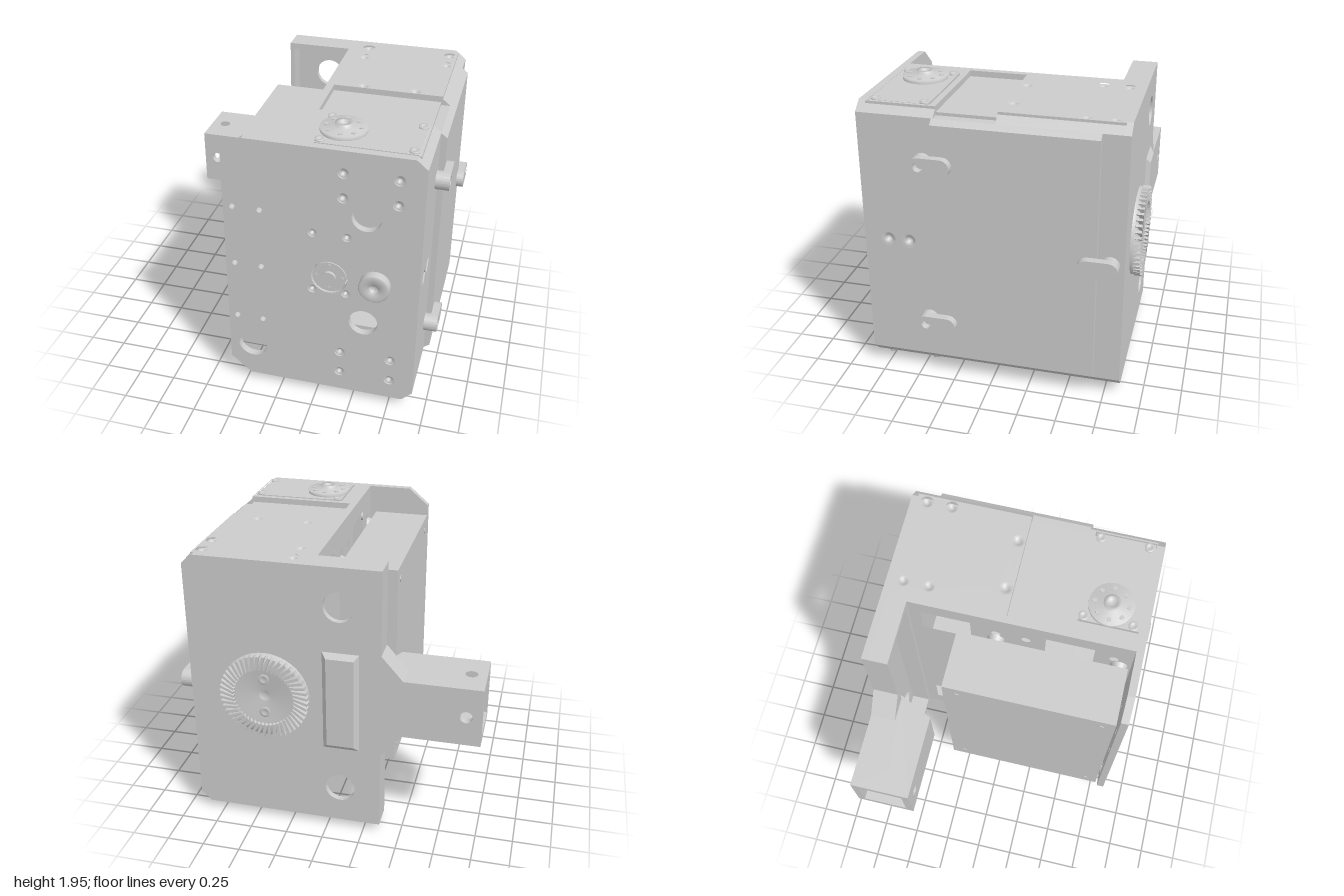
import * as THREE from 'three';

const mat = new THREE.MeshStandardMaterial({ color: 0xcccccc });
const thin = new THREE.MeshStandardMaterial({ color: 0xcccccc, side: THREE.DoubleSide });
const BOTTOM = 0.06, TOP = 1.9, MID = 0.98;

export function createModel() {
  const root = new THREE.Group();

  const add = (name, geo, x = 0, y = 0, z = 0, m = mat) => {
    const mesh = new THREE.Mesh(geo, m);
    mesh.name = name;
    mesh.position.set(x, y, z);
    root.add(mesh);
    return mesh;
  };
  const box = (name, x0, x1, y0, y1, z0, z1) =>
    add(name, new THREE.BoxGeometry(x1 - x0, y1 - y0, z1 - z0), (x0 + x1) / 2, (y0 + y1) / 2, (z0 + z1) / 2);
  const rect = (a0, a1, b0, b1) => [[a0, b0], [a1, b0], [a1, b1], [a0, b1]];

  // Plate from an outline: axis z takes (x,y), axis x takes (z,y), axis y takes (x,z).
  // Holes are circles [a, b, r] or outlines.
  const plate = (name, axis, from, to, pts, holes = []) => {
    const map = ([a, b]) => new THREE.Vector2(axis === 'x' ? -a : a, axis === 'y' ? -b : b);
    const shape = new THREE.Shape(pts.map(map));
    for (const h of holes) {
      const path = new THREE.Path();
      if (typeof h[0] === 'number') {
        const c = map(h);
        path.absarc(c.x, c.y, h[2], 0, Math.PI * 2, true);
      } else path.setFromPoints(h.map(map));
      shape.holes.push(path);
    }
    const geo = new THREE.ExtrudeGeometry(shape, { depth: to - from, bevelEnabled: false, curveSegments: 16 });
    if (axis === 'x') geo.rotateY(Math.PI / 2);
    if (axis === 'y') geo.rotateX(-Math.PI / 2);
    return add(name, geo, axis === 'x' ? from : 0, axis === 'y' ? from : 0, axis === 'z' ? from : 0);
  };

  // Turns the local +y of a round part to the given direction.
  const aim = (mesh, dir) => {
    mesh.quaternion.setFromUnitVectors(new THREE.Vector3(0, 1, 0), new THREE.Vector3(...dir));
    return mesh;
  };
  const turned = (name, profile, pos, dir, segments = 32) => {
    const geo = new THREE.LatheGeometry(profile.map(p => new THREE.Vector2(...p)), segments);
    return aim(add(name, geo.toNonIndexed(), ...pos, thin), dir);
  };
  const screw = (pos, dir, r, d = 0.03) =>
    turned('screw', [[0, -d], [0.45 * r, -d], [0.45 * r, -0.4 * d], [r, -0.4 * d]], pos, dir, 16);
  const disc = (name, r, h, pos, dir) => aim(add(name, new THREE.CylinderGeometry(r, r, h, 32), ...pos), dir);

  // Front plate
  const frontScrews = [];
  for (const y of [1.75, 1.58, 0.38, 0.21]) for (const x of [0.41, 0.75]) frontScrews.push([x, y, 0.036]);
  for (const y of [1.3, 0.87]) for (const x of [0.22, 0.44]) frontScrews.push([x, y, 0.03]);
  const pinHoles = [];
  for (const y of [1.41, 0.98, 0.55]) for (const x of [-0.3, -0.12]) pinHoles.push([x, y, 0.02]);
  plate('frontPlate', 'z', 0.8, 0.85,
    [[-0.22, BOTTOM], [0.84, BOTTOM], [0.91, 0.13], [0.91, 1.84], [0.84, TOP], [-0.22, TOP], [-0.36, 1.78], [-0.36, 0.18]],
    [...frontScrews, ...pinHoles, [0.56, 1.46, 0.095], [0.56, 0.66, 0.095], [-0.2, 0.32, 0.1], [0.33, MID, 0.12]]);
  for (const [x, y, r] of frontScrews) screw([x, y, 0.85], [0, 0, 1], r);

  // Front drive horn and knob
  disc('frontHorn', 0.11, 0.06, [0.33, MID, 0.815], [0, 0, 1]);
  disc('frontHornHub', 0.045, 0.03, [0.33, MID, 0.85], [0, 0, 1]);
  for (let i = 0; i < 4; i++) {
    const a = i * Math.PI / 2;
    disc('hornPin', 0.012, 0.01, [0.33 + 0.085 * Math.cos(a), MID + 0.085 * Math.sin(a), 0.846], [0, 0, 1]);
  }
  turned('frontKnob', [[0.1, 0], [0.1, 0.05], [0.09, 0.06], [0.032, 0.06], [0.032, 0.03], [0, 0.03]], [0.63, MID, 0.85], [0, 0, 1]);

  // Back plate with the gussets of the arm, and the rim of its open tray
  const gusset = [[-0.36, 1.34], [-0.5, 1.18], [-0.5, 0.78], [-0.36, 0.62]];
  plate('backPlate', 'z', -0.85, -0.81,
    [[-0.36, BOTTOM], [0.84, BOTTOM], [0.91, 0.13], [0.91, 1.84], [0.84, TOP], [-0.36, TOP], ...gusset],
    [[-0.09, 0.32, 0.1], [-0.09, 1.64, 0.1]].concat([0.22, 0.81].map(x => [x, MID, 0.001])).slice(0, 2));
  plate('backTrayRim', 'z', -0.81, -0.68,
    [[-0.36, BOTTOM], [0.08, BOTTOM], [0.08, TOP], [-0.36, TOP], ...gusset], [rect(-0.33, 0.05, 0.1, 1.86)]);

  // Bevelled pad on the back
  const pad = new THREE.BoxGeometry(0.24, 0.7, 0.03);
  const p = pad.attributes.position;
  for (let i = 0; i < p.count; i++) {
    if (p.getZ(i) < 0) p.setXY(i, p.getX(i) * 0.75, p.getY(i) * 0.9);
  }
  pad.computeVertexNormals();
  add('backPad', pad, -0.1, MID, -0.865);

  // Toothed drive wheel on the back
  turned('wheel', [[0, 0.01], [0.04, 0.01], [0.04, 0.03], [0.19, 0.03], [0.21, 0.05], [0.285, 0.035], [0.295, 0]],
    [0.4, MID, -0.85], [0, 0, -1], 48);
  for (const s of [-1, 1]) {
    turned('wheelBolt', [[0, 0.002], [0.018, 0.002], [0.018, 0.008], [0.036, 0.008], [0.036, 0]],
      [0.4, MID + s * 0.12, -0.88], [0, 0, -1], 16);
  }
  const tooth = new THREE.BoxGeometry(0.1, 0.018, 0.045);
  for (let i = 0; i < 48; i++) {
    const a = i / 48 * Math.PI * 2;
    const t = add('wheelTooth', tooth, 0.4 + 0.248 * Math.cos(a), MID + 0.248 * Math.sin(a), -0.893);
    t.rotation.z = a + 0.3;
  }

  // Side arm: a square tube, cut at a slant next to the body
  for (const y of [0.78, 1.13]) {
    plate('armWall', 'y', y, y + 0.05, [[-1, -0.85], [-0.31, -0.85], [-0.31, -0.68], [-0.42, -0.45], [-1, -0.45]], [[-0.9, -0.65, 0.04]]);
  }
  plate('armFront', 'z', -0.5, -0.45, rect(-1, -0.42, 0.83, 1.13), [[-0.9, MID, 0.04]]);
  plate('armBack', 'z', -0.85, -0.8, rect(-1, -0.45, 0.83, 1.13), [[-0.9, MID, 0.04]]);

  // Housing: bottom, upper deck, walls
  box('housingBottom', 0.08, 0.84, BOTTOM, 0.1, -0.81, 0.8);
  box('upperDeck', 0.08, 0.85, 1.82, 1.86, -0.81, 0.8);
  box('deckLip', 0.08, 0.13, 1.86, TOP, -0.04, 0.35);
  const topScrews = [[0.32, -0.09, 0.05], [0.67, -0.09, 0.05]];
  for (const x of [0.22, 0.81]) for (const z of [-0.74, -0.57]) topScrews.push([x, z, 0.043]);
  plate('topPlate', 'y', 1.86, TOP, rect(0.08, 0.86, -0.81, -0.04), topScrews);
  for (const [x, z, r] of topScrews) screw([x, TOP, z], [0, 1, 0], r);
  plate('servoFrame', 'y', 1.86, TOP, rect(0.08, 0.86, 0.35, 0.8), [rect(0.2, 0.85, 0.39, 0.795)]);
  const sideScrews = [[0.69, MID, 0.05], [0.55, MID, 0.05]];
  plate('rightWall', 'x', 0.85, 0.91, rect(-0.81, 0.8, 0.13, 1.84), sideScrews);
  for (const [z, y, r] of sideScrews) screw([0.91, y, z], [1, 0, 0], r, 0.04);
  const upper = [[0.84, 1.82], [0.91, 1.84], [0.84, TOP]];
  plate('upperBevel', 'z', -0.81, -0.04, upper);
  plate('upperBevel', 'z', 0.35, 0.8, upper);
  plate('lowerBevel', 'z', -0.81, 0.8, [[0.84, BOTTOM], [0.91, 0.13], [0.84, 0.14]]);
  const windows = [];
  for (const [z0, z1] of [[-0.6, -0.27], [0.23, 0.55]]) {
    windows.push(rect(z0, z1, 1.55, 1.78), rect(z0, z1, 0.18, 0.41));
  }
  plate('leftWall', 'x', 0.08, 0.12, rect(-0.81, 0.8, 0.1, 1.82),
    [...windows, [-0.1, 1.7, 0.03], [0.1, 1.7, 0.03], [0.68, 1.7, 0.03]]);

  // Side cover with three turning latches
  plate('sideCover', 'z', -0.68, 0.36, [[0.91, 0.13], [0.95, 0.16], [0.95, 1.81], [0.91, 1.84]]);
  for (const [y, z, dir] of [[1.55, 0.43, -1], [0.42, 0.43, -1], [MID, -0.76, 1]]) {
    const r = 0.06, len = 0.14, outline = [];
    for (let i = 0; i <= 24; i++) {
      const a = Math.PI / 2 + (i < 12 ? i / 11 : (i - 1) / 11.5) * Math.PI;
      outline.push([z + dir * ((i < 12 ? 0 : len) + r * Math.cos(a)), y + r * Math.sin(a)]);
    }
    plate('latch', 'x', 0.95, 1, outline, [[z, y, 0.032]]);
    disc('latchBoss', r, 0.04, [0.93, y, z], [1, 0, 0]);
  }

  // Top and bottom servos with their horns
  for (const s of [1, -1]) {
    const at = d => MID + s * d, up = [0, s, 0];
    box('servo', 0.21, 0.84, Math.min(at(0.56), at(0.922)), Math.max(at(0.56), at(0.922)), 0.4, 0.79);
    box('servoOutput', 0.28, 0.62, Math.min(at(0.47), at(0.56)), Math.max(at(0.47), at(0.56)), 0.45, 0.7);
    turned('servoHorn', [[0.148, 0], [0.148, 0.028], [0.055, 0.028], [0.055, 0.055], [0.03, 0.055], [0.03, 0.035], [0, 0.035]],
      [0.35, at(0.92), 0.59], up);
    for (let i = 0; i < 8; i++) {
      const a = i * Math.PI / 4;
      disc('hornRivet', 0.015, 0.006, [0.35 + 0.11 * Math.cos(a), at(0.949), 0.59 + 0.11 * Math.sin(a)], up);
    }
    for (const [x, z] of [[0.24, 0.43], [0.81, 0.43], [0.24, 0.75], [0.81, 0.75]]) {
      turned('servoScrew', [[0, 0.002], [0.016, 0.002], [0.016, 0.01], [0.032, 0.01], [0.032, 0]], [x, at(0.922), z], up, 16);
    }
  }

  // Box beside the housing, on standoffs
  box('sideBox', -0.36, 0.03, 0.26, 1.71, -0.35, 0.78);
  for (const y of [0.35, 1.62]) {
    for (const z of [-0.1, 0.72]) {
      aim(add('standoff', new THREE.CylinderGeometry(0.06, 0.035, 0.06, 20), 0.055, y, z), [1, 0, 0]);
    }
    for (const z of [-0.26, 0.69]) disc('boxRivet', 0.02, 0.01, [-0.36, y, z], [-1, 0, 0]);
  }
  return root;
}
